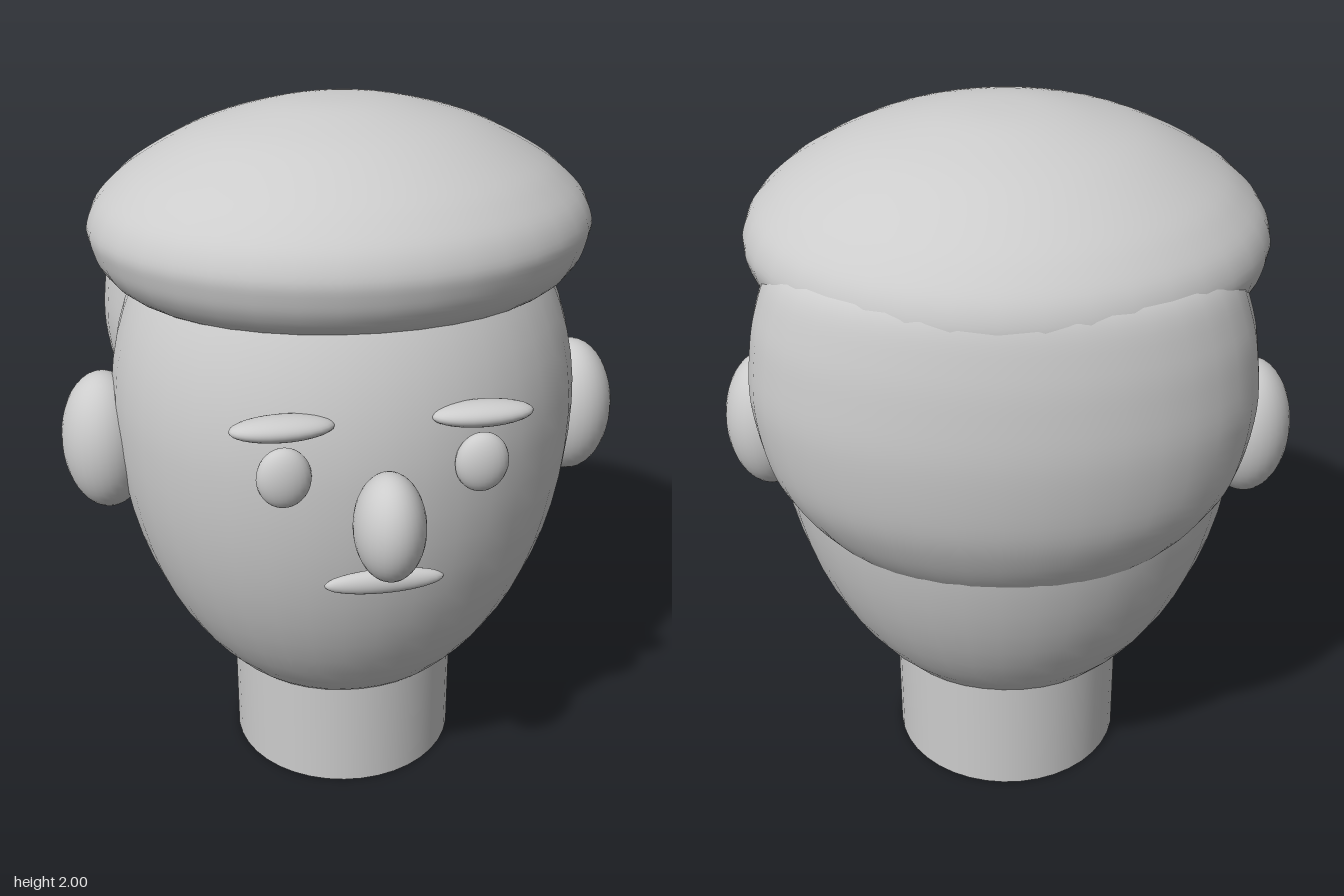
import * as THREE from 'three';

export function createModel() {
  const model = new THREE.Group();
  const grey = new THREE.MeshStandardMaterial({ color: 0xcccccc });
  grey.name = 'plain grey';

  function add(name, geometry, x, y, z) {
    const mesh = new THREE.Mesh(geometry, grey);
    mesh.name = name;
    mesh.position.set(x, y, z);
    model.add(mesh);
    return mesh;
  }

  function ellipsoid(name, pos, radii, segments = 32) {
    const geometry = new THREE.SphereGeometry(1, segments, segments * 0.75);
    geometry.scale(...radii);
    return add(name, geometry, ...pos);
  }

  // Smooth oval lathe: profile of [unit radius, height], bottom to top
  function ovalLathe(name, profile, pos, rx, rz) {
    const curve = new THREE.SplineCurve(profile.map(([r, y]) => new THREE.Vector2(r, y)));
    const points = curve.getPoints(56);
    points.forEach((p) => { p.x = Math.max(0, p.x); });
    const geometry = new THREE.LatheGeometry(points, 40);
    geometry.scale(rx, 1, rz);
    return add(name, geometry, ...pos);
  }

  // Neck
  add('neck', new THREE.CylinderGeometry(0.338, 0.338, 0.5, 40), 0, 0.25, -0.05);

  // Egg-shaped head: longer below its widest line than above it
  const head = new THREE.SphereGeometry(1, 40, 32);
  const p = head.attributes.position;
  for (let i = 0; i < p.count; i++) {
    const y = p.getY(i);
    p.setXYZ(i, p.getX(i) * 0.66, y * (y > 0 ? 0.76 : 0.97), p.getZ(i) * 0.62);
    const n = new THREE.Vector3().fromBufferAttribute(head.attributes.normal, i);
    n.divide(new THREE.Vector3(0.66, y > 0 ? 0.76 : 0.97, 0.62)).normalize();
    head.attributes.normal.setXYZ(i, n.x, n.y, n.z);
  }
  add('head', head, 0, 1.16, -0.04);

  // Hair on the back of the head, tucked under the top
  ovalLathe('backHair', [
    [0, -0.57], [0.3, -0.545], [0.5, -0.495], [0.7, -0.407], [0.85, -0.3], [0.95, -0.178],
    [1, 0], [0.985, 0.15], [0.95, 0.26], [0.88, 0.37], [0.75, 0.42], [0.5, 0.46], [0, 0.48],
  ], [0, 1.3, -0.33], 0.66, 0.43);

  // Puffy top with a nearly flat underside, tipped slightly back
  const top = ovalLathe('topHair', [
    [0, -0.18], [0.5, -0.18], [0.8, -0.172], [0.9, -0.147], [0.96, -0.1], [0.99, -0.05],
    [1, 0], [0.965, 0.06], [0.89, 0.115], [0.8, 0.162], [0.65, 0.22], [0.5, 0.263],
    [0.3, 0.3], [0.15, 0.316], [0, 0.32],
  ], [0, 1.68, -0.08], 0.69, 0.637);
  top.rotation.x = -0.045;

  // Paired features
  for (const [side, s] of [['left', 1], ['right', -1]]) {
    ellipsoid(side + 'Ear', [s * 0.685, 1.063, -0.04], [0.124, 0.205, 0.145]);
    ellipsoid(side + 'Eye', [s * 0.253, 1.212, 0.56], [0.07, 0.082, 0.04], 24);
    ellipsoid(side + 'Eyebrow', [s * 0.253, 1.341, 0.543], [0.132, 0.032, 0.05], 24);
  }

  // Nose and mouth
  ellipsoid('nose', [0, 1.092, 0.64], [0.092, 0.146, 0.115]);
  ellipsoid('mouth', [0, 0.9, 0.585], [0.158, 0.034, 0.026], 24);

  return model;
}
